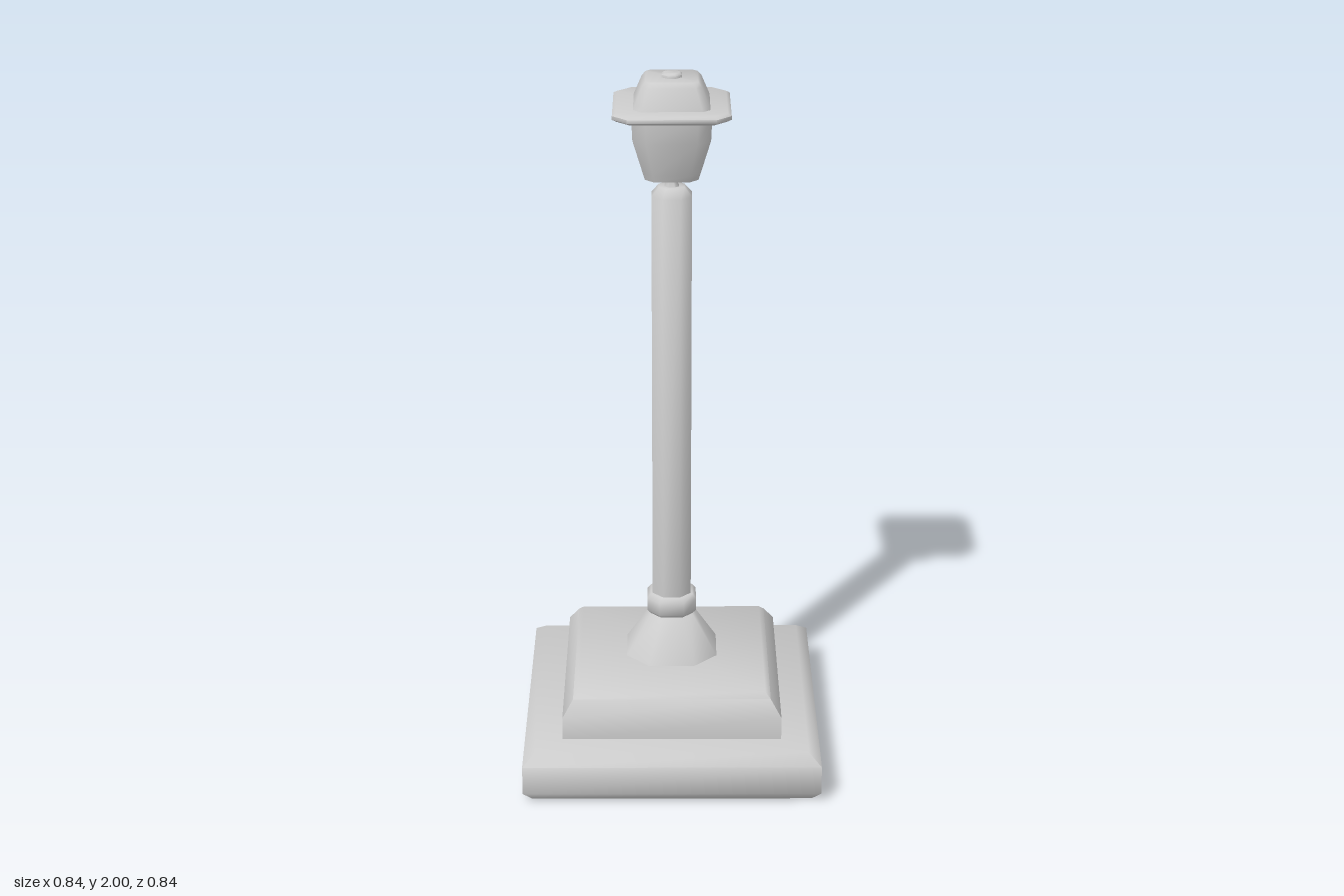
import * as THREE from 'three';
import { toCreasedNormals } from 'three/addons/utils/BufferGeometryUtils.js';

// Corners of a square ring, optionally with cut corners (cut = share of the half width)
function ring(half, cut) {
  const points = [];
  for (let i = 0; i < 4; i++) {
    const a = i * Math.PI / 2, c = Math.cos(a), s = Math.sin(a);
    const corners = cut ? [[half, half * (1 - cut)], [half * (1 - cut), half]] : [[half, half]];
    for (const [x, z] of corners) points.push([x * c - z * s, x * s + z * c]);
  }
  return points;
}

// Closed loft through square rings; profile is [y, halfWidth] from bottom to top
function loft(profile, cut) {
  const positions = [], index = [], n = cut ? 8 : 4;
  for (const [y, half] of profile)
    for (const [x, z] of ring(half, cut)) positions.push(x, y, z);
  for (let r = 0; r < profile.length - 1; r++) {
    for (let i = 0; i < n; i++) {
      const a = r * n + i, b = r * n + (i + 1) % n;
      index.push(a, a + n, b, b, a + n, b + n);
    }
  }
  const top = (profile.length - 1) * n;
  for (let i = 1; i < n - 1; i++) {
    index.push(0, i, i + 1);
    index.push(top, top + i + 1, top + i);
  }
  const geometry = new THREE.BufferGeometry();
  geometry.setAttribute('position', new THREE.Float32BufferAttribute(positions, 3));
  geometry.setIndex(index);
  return toCreasedNormals(geometry, THREE.MathUtils.degToRad(62));
}

export function createModel() {
  const group = new THREE.Group();
  const material = new THREE.MeshStandardMaterial({ color: 0xcccccc });
  const add = (name, profile, cut = 0) => {
    const mesh = new THREE.Mesh(loft(profile, cut), material);
    mesh.name = name;
    group.add(mesh);
  };

  // Stepped square plinth
  add('plinthBase', [[0, 0.395], [0.03, 0.42], [0.115, 0.42], [0.143, 0.385]]);
  add('plinthStep', [[0.14, 0.31], [0.21, 0.31], [0.255, 0.28], [0.27, 0.265]]);

  // Flared foot and collar
  add('footPin', [[0.265, 0.03], [0.285, 0.03]], 0.55);
  add('flaredFoot', [[0.28, 0.13], [0.405, 0.055]], 0.5);
  add('collar', [[0.4, 0.06], [0.412, 0.07], [0.45, 0.07], [0.463, 0.06]], 0.5);

  // Post with a bevelled top
  add('post', [[0.45, 0.055], [1.66, 0.055], [1.685, 0.035]], 0.55);

  // Lantern: neck, tapered body, brim, roof and knob
  add('lanternNeck', [[1.68, 0.022], [1.695, 0.015], [1.725, 0.015]], 0.55);
  add('lanternBody', [[1.715, 0.072], [1.735, 0.078], [1.83, 0.105], [1.9, 0.108]], 0.35);
  add('lanternBrim', [[1.895, 0.148], [1.902, 0.158], [1.912, 0.158], [1.918, 0.148]], 0.25);
  add('lanternRoof', [[1.912, 0.105], [1.93, 0.098], [1.975, 0.08], [1.988, 0.07]], 0.2);
  add('roofKnob', [[1.98, 0.027], [1.995, 0.027], [2, 0.02]], 0.58);

  return group;
}
